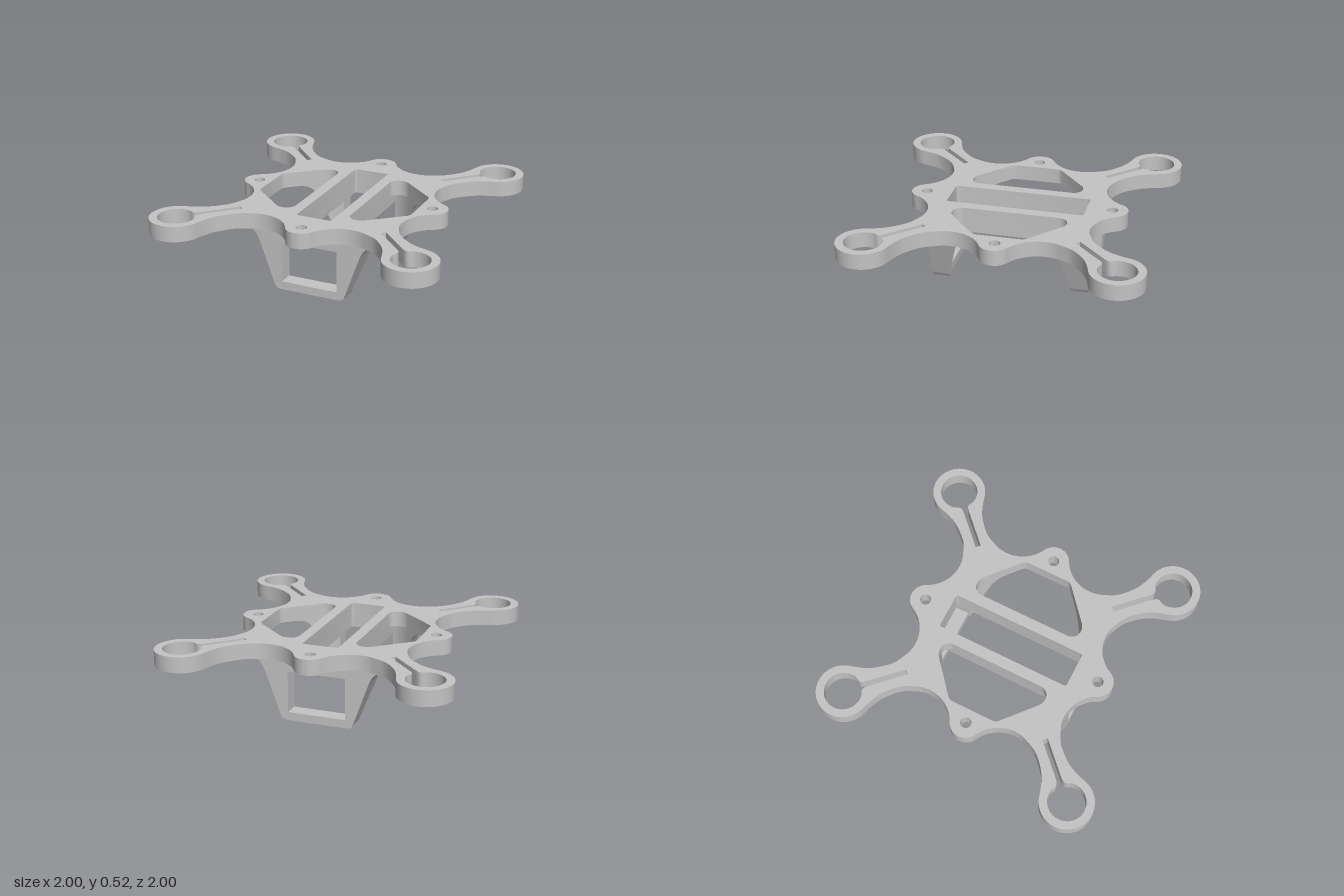
import * as THREE from 'three';
import { toCreasedNormals } from 'three/addons/utils/BufferGeometryUtils.js';

const V = (x, y) => new THREE.Vector2(x, y);
const rad = THREE.MathUtils.degToRad;
const TOP = 0.52, UNDER = 0.413, RAIL = 0.343, FACE = 0.545;

// points along an arc, angles in degrees
function arc(cx, cy, r, a0, a1, n) {
  return Array.from({ length: n + 1 }, (_, i) => {
    const a = rad(a0 + ((a1 - a0) * i) / n);
    return V(cx + r * Math.cos(a), cy + r * Math.sin(a));
  });
}

function roundedRect(w, d, r) {
  return [
    ...arc(w - r, d - r, r, 0, 90, 4), ...arc(r - w, d - r, r, 90, 180, 4),
    ...arc(r - w, r - d, r, 180, 270, 4), ...arc(w - r, r - d, r, 270, 360, 4),
  ];
}

// extrude a plan outline (counter-clockwise) with holes between two heights
function slab(outline, holes, y0, y1) {
  const shape = new THREE.Shape(outline);
  holes.forEach((h) => shape.holes.push(new THREE.Path(h)));
  const g = new THREE.ExtrudeGeometry(shape, { depth: y1 - y0, bevelEnabled: false });
  g.rotateX(-Math.PI / 2).translate(0, y0, 0);
  return toCreasedNormals(g, rad(35));
}

// outline of the four-armed plate, from one eighth mirrored and turned
function plateOutline() {
  const neck = new THREE.SplineCurve([
    V(0.399, 0.57), V(0.495, 0.618), V(0.58, 0.71), V(0.622, 0.79), V(0.647, 0.87),
  ]).getPoints(20);
  const eighth = [
    ...arc(0, 0.645, 0.105, 90, 26.2, 12),
    ...arc(0.315, 0.8, 0.246, 206.2, 290, 18).slice(1, -1),
    ...neck.slice(0, -1),
    ...arc(0.82, 0.82, 0.18, 164, 45, 22),
  ];
  const quarter = [...eighth, ...eighth.slice(1, -1).reverse().map((p) => V(p.y, p.x))];
  const all = [];
  for (let k = 0; k < 4; k++) {
    quarter.forEach((p) => all.push(p.clone().rotateAround(V(0, 0), (-k * Math.PI) / 2)));
  }
  return all.reverse();
}

// motor hole opening into a diagonal slot; u runs towards the middle
function motorHole(sx, sz) {
  const side = [
    V(0.112, 0.05), V(0.117, 0.036), V(0.126, 0.026), V(0.142, 0.02), V(0.165, 0.018), V(0.438, 0.018),
  ];
  const local = [
    ...arc(0, 0, 0.126, 328, 32, 36),
    ...side,
    ...side.slice().reverse().map((p) => V(p.x, -p.y)),
  ];
  const s = Math.SQRT1_2;
  return local.map((p) => V(sx * (0.82 + s * (p.y - p.x)), sz * (0.82 - s * (p.x + p.y))));
}

// sloping edge shared by the side openings and the legs
const slope = (x) => 0.36 - 0.86 * (x - 0.335);

function sideOpening(sx) {
  const half = [
    V(0.555, 0.15), V(0.551, 0.168), V(0.54, slope(0.54)), V(0.325, slope(0.325)),
    V(0.308, 0.381), V(0.285, 0.389), ...arc(0.265, 0.325, 0.065, 90, 180, 8),
  ];
  return [...half, ...half.slice().reverse().map((p) => V(p.x, -p.y))].map((p) => V(sx * p.x, p.y));
}

// flared side of a leg, lofted outwards through upright rectangular sections
function wingGeometry() {
  const lower = new THREE.LineCurve(V(0.256, 0.038), V(0.35, 0.3)).getPoints(8);
  const flare = new THREE.CubicBezierCurve(
    V(0.35, 0.3), V(0.374, 0.37), V(0.4, UNDER), V(0.465, UNDER)).getPoints(12).slice(1);
  const edge = [
    V(0.2, 0), V(0.212, 0), V(0.229, 0.004), V(0.242, 0.012), V(0.25, 0.023), ...lower, ...flare,
  ];
  const positions = [];
  const index = [0, 1, 2, 0, 2, 3];
  edge.forEach(({ x, y }, i) => {
    const inner = slope(x) - 2.6 * Math.max(0, 0.33 - x) ** 2;
    positions.push(x, y, inner, x, y, FACE, x, UNDER, FACE, x, UNDER, inner);
    if (i === 0) return;
    for (let k = 0; k < 4; k++) {
      const a = 4 * (i - 1) + k, b = 4 * (i - 1) + ((k + 1) % 4);
      index.push(a, a + 4, b + 4, a, b + 4, b);
    }
  });
  const g = new THREE.BufferGeometry();
  g.setAttribute('position', new THREE.Float32BufferAttribute(positions, 3));
  g.setIndex(index);
  return toCreasedNormals(g, rad(35));
}

export function createModel() {
  const model = new THREE.Group();
  model.name = 'droneFrame';
  const grey = new THREE.MeshStandardMaterial({ color: 0xc4c4c4 });
  grey.name = 'grey';
  const add = (name, geometry, parent = model) => {
    const mesh = new THREE.Mesh(geometry, grey);
    mesh.name = name;
    parent.add(mesh);
    return mesh;
  };

  // plate with arms, motor rings, side openings, centre slot and lug holes
  const slot = roundedRect(0.125, 0.472, 0.015);
  const holes = [slot, sideOpening(1), sideOpening(-1)];
  for (const sx of [1, -1]) {
    for (const sz of [1, -1]) holes.push(motorHole(sx, sz));
    holes.push(arc(sx * 0.645, 0, 0.037, 0, 345, 23));
    holes.push(arc(0, sx * 0.645, 0.037, 0, 345, 23));
  }
  add('plate', slab(plateOutline(), holes, UNDER, TOP));

  // deep frame around the centre slot, also the top beam of both legs
  const frame = [V(-0.2, -FACE), V(0.2, -FACE), V(0.2, FACE), V(-0.2, FACE)];
  add('slotFrame', slab(frame, [slot], RAIL, UNDER));

  // front and back legs: a bottom bar between two mirrored wings
  const bar = new THREE.BoxGeometry(0.4, 0.057, 0.105).translate(0, 0.0285, FACE - 0.0525);
  const wing = wingGeometry();
  for (const [name, turn] of [['frontLeg', 0], ['backLeg', Math.PI]]) {
    const leg = new THREE.Group();
    leg.name = name;
    leg.rotation.y = turn;
    add('legBar', bar, leg);
    add('legWingLeft', wing, leg);
    add('legWingRight', wing, leg).scale.x = -1;
    model.add(leg);
  }
  return model;
}
